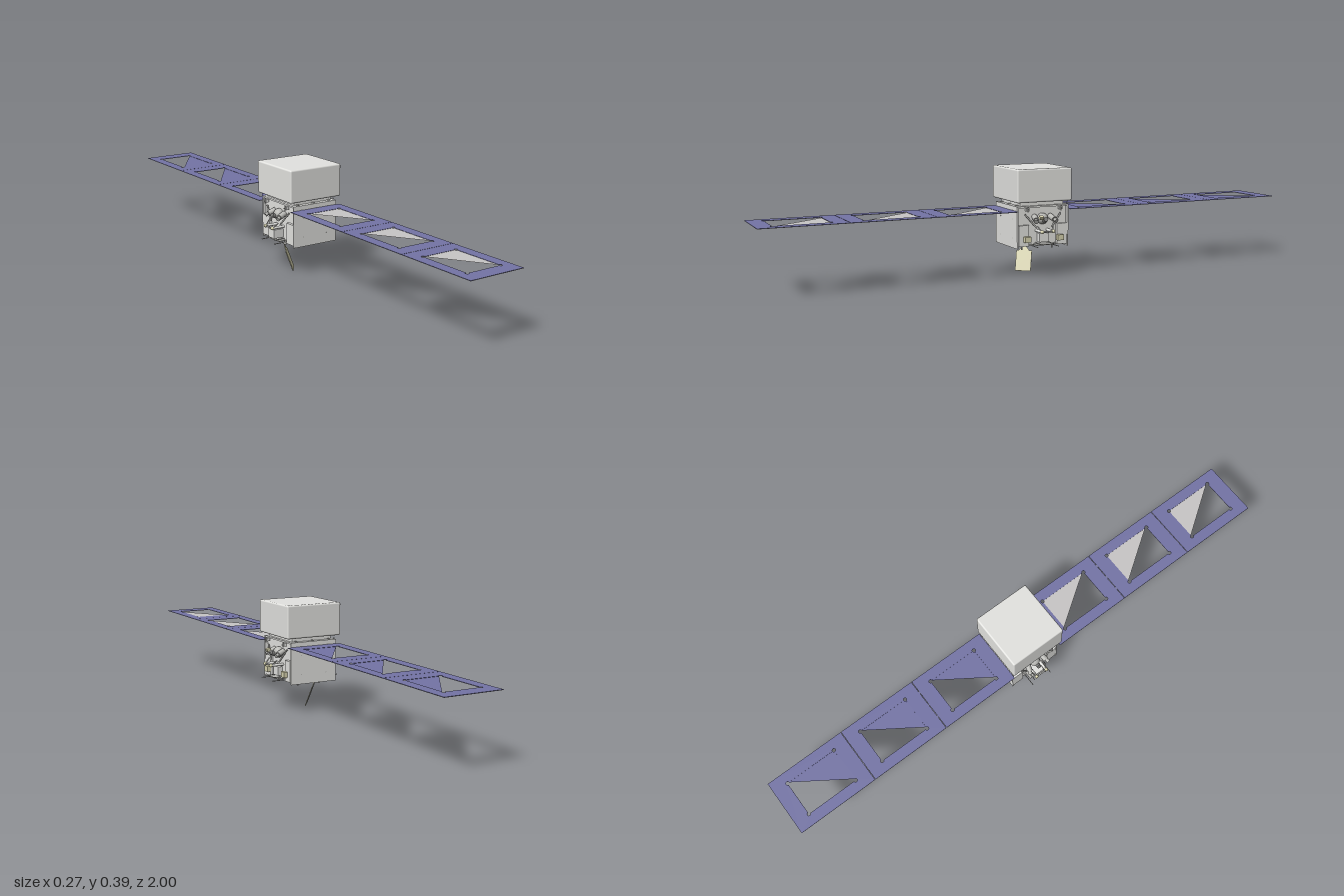
import * as THREE from 'three';
import { RoundedBoxGeometry } from 'three/addons/geometries/RoundedBoxGeometry.js';

const mat = (name, color, side = THREE.FrontSide) => {
  const m = new THREE.MeshStandardMaterial({ color, side });
  m.name = name;
  return m;
};

export function createModel() {
  const M = {
    body: mat('light grey', 0xe3e3e0),
    cell: mat('solar blue', 0x7474a6),
    cellSheet: mat('solar blue sheet', 0x7474a6, THREE.DoubleSide),
    back: mat('panel grey', 0xc8c6c6),
    backSheet: mat('panel grey sheet', 0xc8c6c6, THREE.DoubleSide),
    khaki: mat('khaki', 0xd8d4b0),
    metal: mat('dark metal', 0x80807e),
    steel: mat('mid grey', 0xb8b8b4),
  };
  const root = new THREE.Group();
  root.name = 'satellite';
  const add = (parent, name, geo, m, x = 0, y = 0, z = 0) => {
    const mesh = new THREE.Mesh(geo, m);
    mesh.name = name;
    mesh.position.set(x, y, z);
    parent.add(mesh);
    return mesh;
  };
  const box = (p, name, m, w, h, d, x, y, z) => add(p, name, new THREE.BoxGeometry(w, h, d), m, x, y, z);
  // Cylinder running from point a to point b
  const rod = (p, name, m, a, b, r, r2 = r) => {
    const A = new THREE.Vector3(...a), B = new THREE.Vector3(...b);
    const dir = B.clone().sub(A);
    const mesh = add(p, name, new THREE.CylinderGeometry(r2, r, dir.length(), 16), m);
    mesh.position.copy(A).add(B).multiplyScalar(0.5);
    mesh.quaternion.setFromUnitVectors(new THREE.Vector3(0, 1, 0), dir.normalize());
    return mesh;
  };
  const shape = pts => new THREE.Shape(pts.map(p => new THREE.Vector2(...p)));

  // Payload housing and neck
  add(root, 'payloadHousing', new RoundedBoxGeometry(0.215, 0.118, 0.214, 3, 0.006), M.body, 0, 0.33, 0);
  box(root, 'neck', M.body, 0.158, 0.018, 0.17, 0, 0.264, 0);

  // Bus: core, large end plates and top deck
  box(root, 'busCore', M.body, 0.16, 0.132, 0.196, 0, 0.186, 0);
  box(root, 'topDeck', M.body, 0.18, 0.006, 0.2, 0, 0.254, 0);
  box(root, 'bottomDeck', M.steel, 0.17, 0.004, 0.194, 0, 0.118, 0);
  for (const s of [1, -1]) {
    box(root, 'endPlate', M.body, 0.182, 0.15, 0.005, 0, 0.182, s * 0.0985);
    for (const x of [-0.05, 0.05]) for (const y of [0.142, 0.21])
      rod(root, 'plateBolt', M.steel, [x, y, s * 0.1], [x, y, s * 0.1015], 0.0018);
    for (const x of [-0.045, 0.042])
      rod(root, 'footStud', M.steel, [x, 0.095, s * 0.06], [x, 0.118, s * 0.06], 0.0028);
    for (const x of [-0.066, 0, 0.066])
      box(root, 'neckClip', M.steel, 0.008, 0.003, 0.01, x, 0.258, s * 0.09);
  }

  // Solar wings, three framed segments each; openings have round corner reliefs
  const R = 0.006, HX = 0.066;
  const segment = (z0, z1, h0, h1) => {
    const s = shape([[-0.105, z0], [0.105, z0], [0.105, z1], [-0.105, z1]]);
    const hole = new THREE.Path();
    [[HX, h0], [HX, h1], [-HX, h1], [-HX, h0]].forEach(([x, z], i) => {
      const start = Math.PI * (1 + i / 2);
      hole.absarc(x, z, R, start, start + Math.PI * 1.5, false);
    });
    s.holes.push(hole);
    return new THREE.ExtrudeGeometry(s, { depth: 0.001, bevelEnabled: false, curveSegments: 10 }).rotateX(Math.PI / 2);
  };
  for (const s of [1, -1]) {
    const wing = new THREE.Group();
    wing.name = s > 0 ? 'frontWing' : 'rearWing';
    root.add(wing);
    for (let i = 0; i < 3; i++) {
      const c = s * (0.25 + 0.3 * i);
      const a = c - s * (i ? 0.1492 : 0.148), b = c + s * (i < 2 ? 0.1492 : 0.15);
      const geo = segment(Math.min(a, b), Math.max(a, b), c - 0.095, c + 0.095);
      add(wing, 'cellFrame', geo, M.cell, 0, 0.241, 0);
      add(wing, 'backFrame', geo, M.back, 0, 0.24, 0);
      // Triangular web closing half of each opening
      const n = c - s * 0.095, f = c + s * 0.095, d = R * 0.7;
      const web = shape([[-HX + R, n], [HX - R, n], [HX - d, n + s * d], [HX, n + s * R], [HX, f - s * R]]);
      add(wing, 'web', new THREE.ShapeGeometry(web).rotateX(Math.PI / 2), s > 0 ? M.backSheet : M.cellSheet, 0, 0.24, 0);
      // Hinges on the inner edge
      const hz = s * (0.1008 + 0.2992 * i);
      for (const x of [-0.055, 0, 0.055])
        rod(wing, 'hinge', M.metal, [x - 0.005, 0.24, hz], [x + 0.005, 0.24, hz], 0.0013);
    }
  }

  // Equipment on both open sides
  for (const s of [1, -1]) {
    const g = new THREE.Group();
    g.name = s > 0 ? 'leftEquipment' : 'rightEquipment';
    root.add(g);
    for (const z of [-1, 1]) {
      box(g, 'cornerUnit', M.body, 0.014, 0.075, 0.04, s * 0.084, 0.152, z * 0.075);
      if (s > 0) box(g, 'unitWindow', M.khaki, 0.014, 0.02, 0.024, 0.098, 0.14, z * 0.064);
      box(g, 'upperBracket', M.body, 0.012, 0.012, 0.012, s * 0.096, 0.247, z * 0.065);
      rod(g, 'bracketPin', M.steel, [s * 0.104, 0.237, z * 0.065], [s * 0.104, 0.256, z * 0.065], 0.002);
      rod(g, 'bracketBolt', M.steel, [s * 0.1, 0.247, z * 0.065], [s * 0.108, 0.247, z * 0.065], 0.002);
      // Tilted thruster with nozzle
      rod(g, 'thruster', M.steel, [s * 0.082, 0.218, z * 0.03], [s * 0.108, 0.208, z * 0.036], 0.01);
      rod(g, 'nozzle', M.steel, [s * 0.106, 0.209, z * 0.036], [s * 0.118, 0.203, z * 0.04], 0.005, 0.008);
      rod(g, 'feedPipe', M.steel, [s * 0.09, 0.228, z * 0.07], [s * 0.1, 0.18, z * 0.03], 0.003);
      // Lower outrigger rods
      rod(g, 'longRod', M.steel, [s * 0.08, 0.115, z * 0.04], [s * 0.134, 0.115, z * 0.04], 0.0015);
      rod(g, 'shortRod', M.steel, [s * 0.08, 0.124, z * 0.025], [s * 0.124, 0.124, z * 0.025], 0.0015);
      rod(g, 'knobArm', M.body, [s * 0.08, 0.168, z * 0.022], [s * 0.126, 0.168, z * 0.022], 0.005);
      add(g, 'knob', new THREE.SphereGeometry(0.0065, 16, 12), M.khaki, s * 0.129, 0.168, z * 0.022);
      rod(g, 'strut', M.steel, [s * 0.128, 0.168, z * 0.022], [s * 0.108, 0.186, z * 0.03], 0.002);
    }
    rod(g, 'crossBar', M.steel, [s * 0.129, 0.168, -0.022], [s * 0.129, 0.168, 0.022], 0.003);
    box(g, 'centreUnit', M.body, s > 0 ? 0.02 : 0.042, 0.032, 0.036, s * (s > 0 ? 0.088 : 0.099), 0.143, 0);
    add(g, 'tank', new THREE.SphereGeometry(0.02, 20, 14), M.steel, s * 0.086, 0.21, 0);
    rod(g, 'centreSensor', M.metal, [s * 0.09, 0.2, 0], [s * 0.116, 0.21, 0], 0.008);
    box(g, 'lowerShelf', M.steel, 0.03, 0.003, 0.07, s * 0.094, 0.119, 0);
  }
  const tracker = box(root, 'sensorCap', M.khaki, 0.014, 0.01, 0.014, 0.118, 0.218, 0.02);
  tracker.rotation.z = -0.4;

  // Hanging antenna plate: khaki face, grey rear, yoke and jointed arm
  const w = new THREE.Vector3(0.035, 0, -0.047).normalize();
  const n = w.clone().cross(new THREE.Vector3(-0.02, 0.07, -0.016)).normalize();
  const antenna = new THREE.Group();
  antenna.name = 'hangingAntenna';
  antenna.quaternion.setFromRotationMatrix(new THREE.Matrix4().makeBasis(w, n.clone().cross(w), n));
  antenna.position.set(-0.0475, 0.037, 0.011);
  root.add(antenna);
  const yoke = new THREE.ExtrudeGeometry(shape([[-0.02, 0], [0.02, 0], [0.004, 0.02], [-0.004, 0.02]]), { depth: 0.0015, bevelEnabled: false });
  for (const [side, m, z] of [['Face', M.khaki, 0], ['Rear', M.steel, -0.0015]]) {
    box(antenna, 'plate' + side, m, 0.058, 0.076, 0.0015, 0, 0, z + 0.00075);
    add(antenna, 'yoke' + side, yoke, m, 0, 0.038, z);
  }
  add(root, 'armJoint', new THREE.SphereGeometry(0.006, 16, 12), M.steel, -0.06, 0.097, 0);
  rod(root, 'arm', M.steel, [-0.06, 0.093, 0], [-0.058, 0.12, 0], 0.004);
  return root;
}
